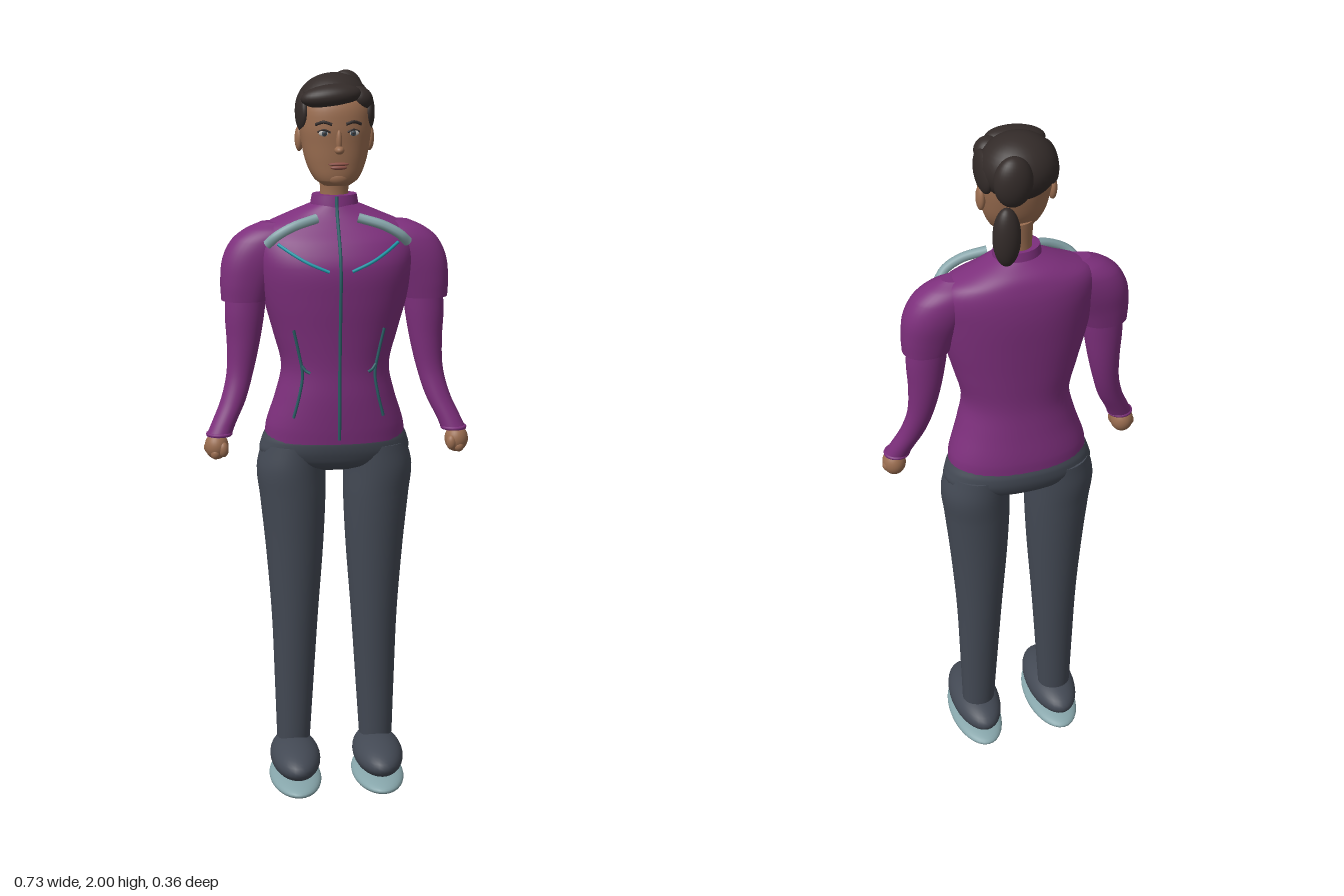
import * as THREE from 'three';

const mat = (name, color) => Object.assign(new THREE.MeshStandardMaterial({ color }), { name });

// Smoothly interpolated cross-section [y, centreX, radiusX, zFront, zBack] at height y
function sectionAt(rows, y) {
  let i = 0;
  while (i < rows.length - 2 && y > rows[i + 1][0]) i++;
  const a = rows[i], b = rows[i + 1], p = rows[i - 1] || a, q = rows[i + 2] || b;
  const h = b[0] - a[0], t = Math.min(1, Math.max(0, (y - a[0]) / h));
  return a.map((v, k) => {
    if (k === 0) return y;
    const m0 = (b[k] - p[k]) / (b[0] - p[0]) * h, m1 = (q[k] - v) / (q[0] - a[0]) * h;
    const t2 = t * t, t3 = t2 * t;
    return (2 * t3 - 3 * t2 + 1) * v + (t3 - 2 * t2 + t) * m0 + (3 * t2 - 2 * t3) * b[k] + (t3 - t2) * m1;
  });
}

// Closed body lofted upwards through the cross-sections; n sets how square they are
function loft(rows, { n = 2, side = 1, seg = 36, sub = 5 } = {}) {
  const pos = [], idx = [], ys = [];
  for (let i = 0; i < rows.length - 1; i++)
    for (let k = 0; k < sub; k++) ys.push(rows[i][0] + (rows[i + 1][0] - rows[i][0]) * k / sub);
  ys.push(rows[rows.length - 1][0]);
  const curve = v => Math.sign(v) * Math.abs(v) ** (2 / n);
  const ring = y => {
    const [, cx, rx, zf, zb] = sectionAt(rows, y), start = pos.length / 3;
    for (let j = 0; j < seg; j++) {
      const a = j / seg * Math.PI * 2;
      pos.push(side * cx + rx * curve(Math.cos(a)), y, (zf + zb) / 2 + (zf - zb) / 2 * curve(Math.sin(a)));
    }
    return start;
  };
  const starts = ys.map(ring);
  for (let i = 0; i < starts.length - 1; i++)
    for (let j = 0; j < seg; j++) {
      const a = starts[i] + j, b = starts[i] + (j + 1) % seg, c = a + seg, d = b + seg;
      idx.push(a, c, b, b, c, d);
    }
  for (const [y, top] of [[ys[0], false], [ys[ys.length - 1], true]]) {
    const s = ring(y), [, cx, , zf, zb] = sectionAt(rows, y), centre = pos.length / 3;
    pos.push(side * cx, y, (zf + zb) / 2);
    for (let j = 0; j < seg; j++) {
      const a = s + j, b = s + (j + 1) % seg;
      if (top) idx.push(centre, b, a); else idx.push(centre, a, b);
    }
  }
  const g = new THREE.BufferGeometry();
  g.setAttribute('position', new THREE.Float32BufferAttribute(pos, 3));
  g.setIndex(idx);
  g.computeVertexNormals();
  return g;
}

// Depth of the front surface of a loft at (x, y)
function frontZ(rows, x, y, n = 2) {
  const [, cx, rx, zf, zb] = sectionAt(rows, y);
  const u = Math.min(1, Math.abs((x - cx) / rx));
  return (zf + zb) / 2 + (zf - zb) / 2 * (1 - u ** n) ** (1 / n);
}

const HEAD = [
  [1.712, 0, 0.035, 0.06, 0], [1.728, 0, 0.058, 0.074, -0.03], [1.77, 0, 0.079, 0.08, -0.062],
  [1.82, 0, 0.09, 0.083, -0.08], [1.87, 0, 0.096, 0.085, -0.09], [1.93, 0, 0.09, 0.075, -0.095], [1.975, 0, 0.05, 0.03, -0.06]];
const TORSO = [
  [1.015, 0, 0.193, 0.09, -0.13], [1.06, 0, 0.188, 0.095, -0.13], [1.14, 0, 0.163, 0.1, -0.12],
  [1.22, 0, 0.147, 0.1, -0.113], [1.31, 0, 0.168, 0.108, -0.118], [1.41, 0, 0.195, 0.12, -0.126],
  [1.5, 0, 0.212, 0.124, -0.132], [1.56, 0, 0.215, 0.1, -0.13], [1.6, 0, 0.19, 0.068, -0.122],
  [1.63, 0, 0.125, 0.045, -0.108], [1.658, 0, 0.06, 0.03, -0.075]];
const PELVIS = [
  [0.925, 0, 0.09, 0.02, -0.07], [0.945, 0, 0.165, 0.062, -0.112], [0.975, 0, 0.205, 0.08, -0.13],
  [1.01, 0, 0.201, 0.088, -0.134], [1.032, 0, 0.192, 0.085, -0.128]];
const LEG = [
  [0.13, 0.118, 0.047, 0.025, -0.06], [0.3, 0.115, 0.055, 0.032, -0.07], [0.5, 0.112, 0.065, 0.045, -0.085],
  [0.7, 0.112, 0.08, 0.058, -0.1], [0.85, 0.116, 0.091, 0.068, -0.112], [0.93, 0.12, 0.095, 0.072, -0.12], [1.0, 0.11, 0.09, 0.07, -0.12]];
const FOREARM = [
  [1.04, 0.322, 0.034, 0.075, 0.012], [1.07, 0.309, 0.033, 0.066, 0.003], [1.13, 0.281, 0.034, 0.048, -0.015],
  [1.2, 0.261, 0.036, 0.033, -0.032], [1.28, 0.25, 0.044, 0.032, -0.045], [1.36, 0.245, 0.053, 0.035, -0.052], [1.42, 0.24, 0.055, 0.035, -0.055]];
const SLEEVE = [
  [1.402, 0.244, 0.063, 0.042, -0.062], [1.45, 0.235, 0.074, 0.047, -0.07], [1.51, 0.215, 0.088, 0.05, -0.08],
  [1.56, 0.186, 0.093, 0.046, -0.08], [1.59, 0.155, 0.088, 0.035, -0.07], [1.61, 0.14, 0.06, 0.01, -0.045]];

export function createModel() {
  const M = {
    jacket: mat('jacket purple', 0x7d2f7c), trousers: mat('charcoal', 0x434954), skin: mat('skin brown', 0x9a6d50),
    hair: mat('dark hair', 0x332b29), pale: mat('pale grey teal', 0x86a5aa), teal: mat('bright teal', 0x1c98a8),
    seam: mat('dark teal', 0x2a5f66), white: mat('eye white', 0xb9b6b2), iris: mat('eye blue grey', 0x3d4a55), lips: mat('lip brown', 0x8a4f45),
  };
  const model = new THREE.Group();
  const add = (name, geo, m, parent = model) => {
    const mesh = new THREE.Mesh(geo, m);
    mesh.name = name;
    parent.add(mesh);
    return mesh;
  };
  const ball = (name, m, [x, y, z], [rx, ry, rz], tilt = 0) => {
    const mesh = add(name, new THREE.SphereGeometry(1, 32, 20), m);
    mesh.position.set(x, y, z);
    mesh.scale.set(rx, ry, rz);
    mesh.rotation.z = tilt;
    return mesh;
  };
  const tube = (name, m, pts, r) => {
    const curve = new THREE.CatmullRomCurve3(pts.map(p => new THREE.Vector3(...p)));
    return add(name, new THREE.TubeGeometry(curve, 32, r, 8), m);
  };
  const onTorso = (x, y, lift = 0.003) => [x, y, frontZ(TORSO, x, y, 2.2) + lift];
  const onFace = (x, y, lift = 0) => [x, y, frontZ(HEAD, x, y, 2.2) + lift];

  // Head, neck and central face
  add('head', loft(HEAD, { n: 2.2 }), M.skin);
  add('neck', loft([[1.63, 0, 0.042, 0.015, -0.062], [1.69, 0, 0.038, 0.01, -0.06], [1.76, 0, 0.042, 0.02, -0.065]]), M.skin);
  ball('noseBridge', M.skin, [0, 1.832, 0.084], [0.008, 0.03, 0.01]);
  ball('noseTip', M.skin, [0, 1.81, 0.09], [0.013, 0.011, 0.018]);
  ball('upperLip', M.lips, onFace(0, 1.772, -0.002), [0.027, 0.005, 0.008]);
  ball('lowerLip', M.lips, onFace(0, 1.763, -0.002), [0.022, 0.006, 0.008]);
  ball('chin', M.skin, [0, 1.735, 0.062], [0.03, 0.02, 0.016]);

  // Hair with swept fringe and side ponytail
  ball('hairCap', M.hair, [0, 1.915, -0.033], [0.1, 0.085, 0.094]);
  ball('fringe', M.hair, [-0.017, 1.946, 0.05], [0.08, 0.031, 0.04], 0.1);
  ball('fringeEnd', M.hair, [0.062, 1.938, 0.03], [0.035, 0.03, 0.034], -0.5);
  ball('ponytailBase', M.hair, [0.045, 1.93, -0.135], [0.05, 0.068, 0.036]);
  ball('ponytail', M.hair, [0.066, 1.785, -0.147], [0.036, 0.082, 0.031]);

  // Jacket body, collar and zip
  add('jacketBody', loft(TORSO, { n: 2.2, seg: 48 }), M.jacket);
  add('collar', loft([[1.635, 0, 0.066, 0.036, -0.078], [1.66, 0, 0.064, 0.032, -0.074], [1.682, 0, 0.06, 0.028, -0.07]]), M.jacket);
  const zip = [1.03, 1.1, 1.2, 1.3, 1.4, 1.48, 1.54, 1.6, 1.64].map(y => onTorso(0, y));
  tube('zip', M.seam, [...zip, [0, 1.68, 0.031]], 0.0045);
  add('pelvis', loft(PELVIS, { n: 2.2 }), M.trousers);

  for (const s of [1, -1]) {
    const side = s > 0 ? 'left' : 'right';

    // Eyes, brows, ears and side hair
    ball(side + 'Eye', M.white, onFace(s * 0.038, 1.853, -0.001), [0.015, 0.008, 0.004]);
    ball(side + 'Iris', M.iris, onFace(s * 0.038, 1.853, 0.001), [0.0075, 0.0075, 0.004]);
    ball(side + 'Pupil', M.hair, onFace(s * 0.038, 1.853, 0.003), [0.0035, 0.0035, 0.0028]);
    tube(side + 'Eyelid', M.hair, [onFace(s * 0.022, 1.855), onFace(s * 0.038, 1.862, 0.001), onFace(s * 0.055, 1.856)], 0.0025);
    tube(side + 'Brow', M.hair, [onFace(s * 0.018, 1.876), onFace(s * 0.04, 1.882), onFace(s * 0.06, 1.875)], 0.004);
    ball(side + 'Ear', M.skin, [s * 0.094, 1.83, -0.018], [0.012, 0.034, 0.02]);
    ball(side + 'HairLock', M.hair, [s * 0.085, 1.9, -0.012], [0.02, 0.055, 0.062]);

    // Arm and closed hand
    add(side + 'ForearmSleeve', loft(FOREARM, { side: s }), M.jacket);
    add(side + 'ShortSleeve', loft(SLEEVE, { side: s, n: 2.2 }), M.jacket);
    const cuff = add(side + 'Cuff', new THREE.TorusGeometry(0.031, 0.005, 8, 28), M.jacket);
    cuff.position.set(s * 0.321, 1.045, 0.043);
    cuff.rotation.x = Math.PI / 2;
    ball(side + 'Hand', M.skin, [s * 0.329, 1.012, 0.046], [0.032, 0.037, 0.034]);
    ball(side + 'Thumb', M.skin, [s * 0.312, 1.006, 0.068], [0.014, 0.021, 0.014]);
    for (let k = 0; k < 3; k++)
      ball(side + 'Finger' + (k + 1), M.skin, [s * (0.333 + k * 0.008), 0.995 + k * 0.006, 0.066 - k * 0.013], [0.014, 0.016, 0.014]);

    // Jacket trim
    tube(side + 'ShoulderBand', M.pale, [[s * 0.188, 1.56, 0.058], [s * 0.165, 1.583, 0.07], [s * 0.12, 1.608, 0.07], [s * 0.055, 1.627, 0.056]], 0.013);
    tube(side + 'ChestPiping', M.teal, [[0.16, 1.562], [0.125, 1.54], [0.085, 1.518], [0.03, 1.495]].map(([x, y]) => onTorso(s * x, y)), 0.0045);
    tube(side + 'WaistSeam', M.seam, [[0.122, 1.335], [0.108, 1.27], [0.098, 1.21], [0.107, 1.15], [0.122, 1.09]].map(([x, y]) => onTorso(s * x, y)), 0.004);
    tube(side + 'WaistSeamEnd', M.seam, [[0.1, 1.235], [0.09, 1.222], [0.078, 1.215]].map(([x, y]) => onTorso(s * x, y)), 0.004);

    // Leg and shoe
    add(side + 'TrouserLeg', loft(LEG, { side: s }), M.trousers);
    ball(side + 'Shoe', M.trousers, [s * 0.118, 0.088, 0.027], [0.07, 0.05, 0.146]);
    ball(side + 'Sole', M.pale, [s * 0.118, 0.026, 0.027], [0.073, 0.026, 0.152]);
  }
  return model;
}
